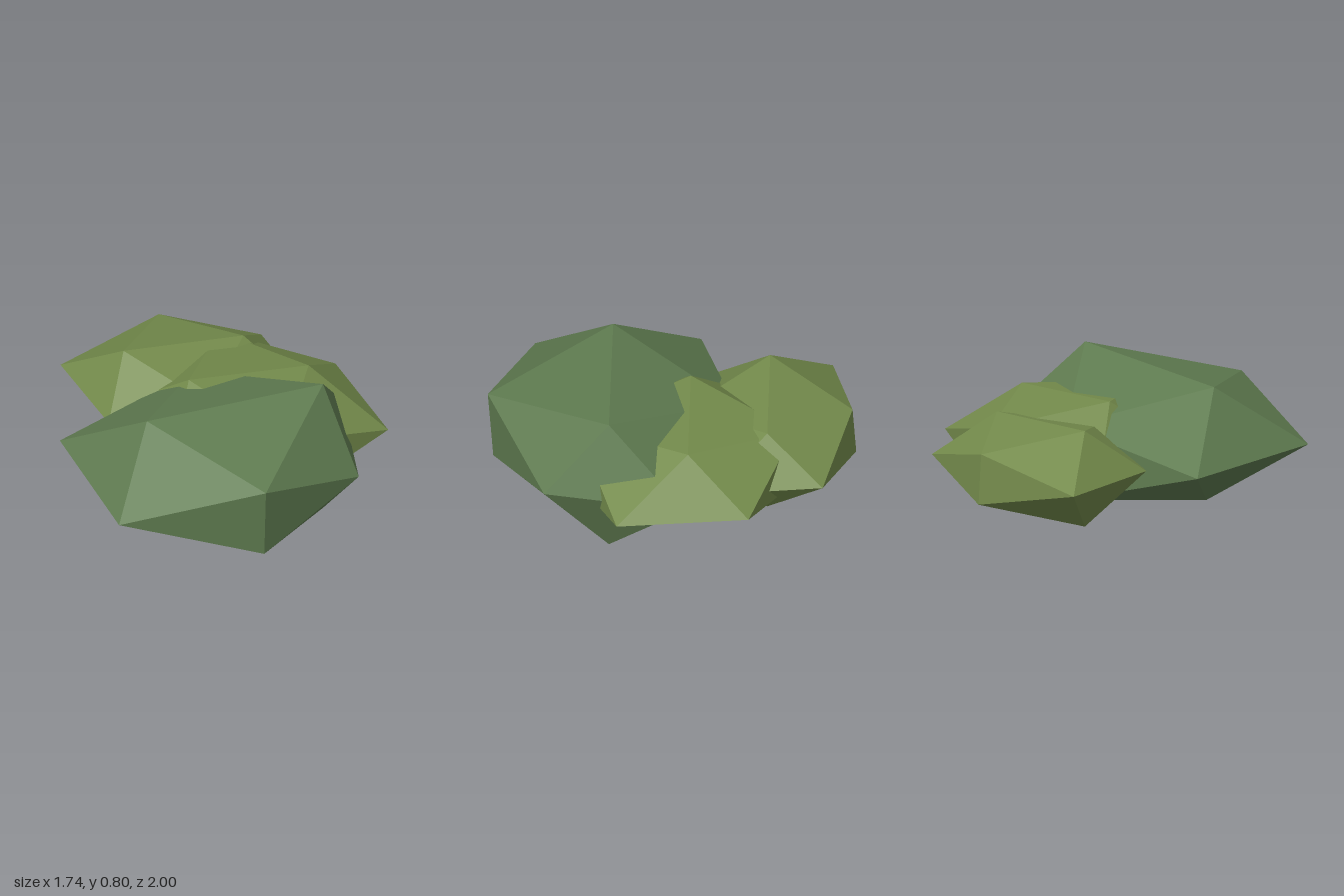
import * as THREE from 'three';
import { ConvexGeometry } from 'three/addons/geometries/ConvexGeometry.js';

// Twelve-cornered faceted boulder: pairs of corners along each axis, like a squashed icosahedron
function boulder(name, material, corners) {
  const points = corners.map(([x, y, z]) => new THREE.Vector3(x, y, z));
  const mesh = new THREE.Mesh(new ConvexGeometry(points), material);
  mesh.name = name;
  return mesh;
}

export function createModel() {
  const group = new THREE.Group();
  group.name = 'boulderCluster';

  const darkMoss = new THREE.MeshStandardMaterial({ color: 0x5f7b50, flatShading: true });
  darkMoss.name = 'darkMoss';
  const lightMoss = new THREE.MeshStandardMaterial({ color: 0x738a4b, flatShading: true });
  lightMoss.name = 'lightMoss';

  group.add(
    boulder('largeFrontBoulder', darkMoss, [
      // top and bottom ridges
      [-0.52, 0.75, 0.33], [0.48, 0.8, 0.33], [-0.46, 0.1, 0.33], [0.48, 0, 0.33],
      // front and back edges
      [-0.05, 0.61, 1], [-0.05, 0.2, 0.97], [-0.05, 0.57, -0.34], [-0.05, 0.15, -0.34],
      // side edges
      [-0.81, 0.4, 0.76], [-0.87, 0.4, -0.14], [0.575, 0.4, 0.68], [0.71, 0.4, -0.09],
    ]),
    boulder('sideBoulder', lightMoss, [
      [-0.15, 0.68, -0.1], [0.53, 0.645, -0.1], [-0.1, 0.18, -0.1], [0.48, 0.18, -0.1],
      [0.2, 0.6, 0.52], [0.2, 0.22, 0.52], [0.2, 0.57, -0.67], [0.2, 0.22, -0.67],
      [-0.36, 0.4, 0.25], [-0.4, 0.4, -0.42], [0.865, 0.4, 0.28], [0.785, 0.4, -0.435],
    ]),
    boulder('backBoulder', lightMoss, [
      [-0.39, 0.65, -0.525], [0.29, 0.62, -0.525], [-0.39, 0.11, -0.525], [0.29, 0.13, -0.525],
      [-0.05, 0.53, -0.07], [-0.05, 0.24, -0.07], [-0.05, 0.54, -0.98], [-0.05, 0.26, -1],
      [-0.565, 0.4, -0.23], [-0.645, 0.4, -0.86], [0.56, 0.4, -0.22], [0.485, 0.4, -0.83],
    ]),
  );
  return group;
}
